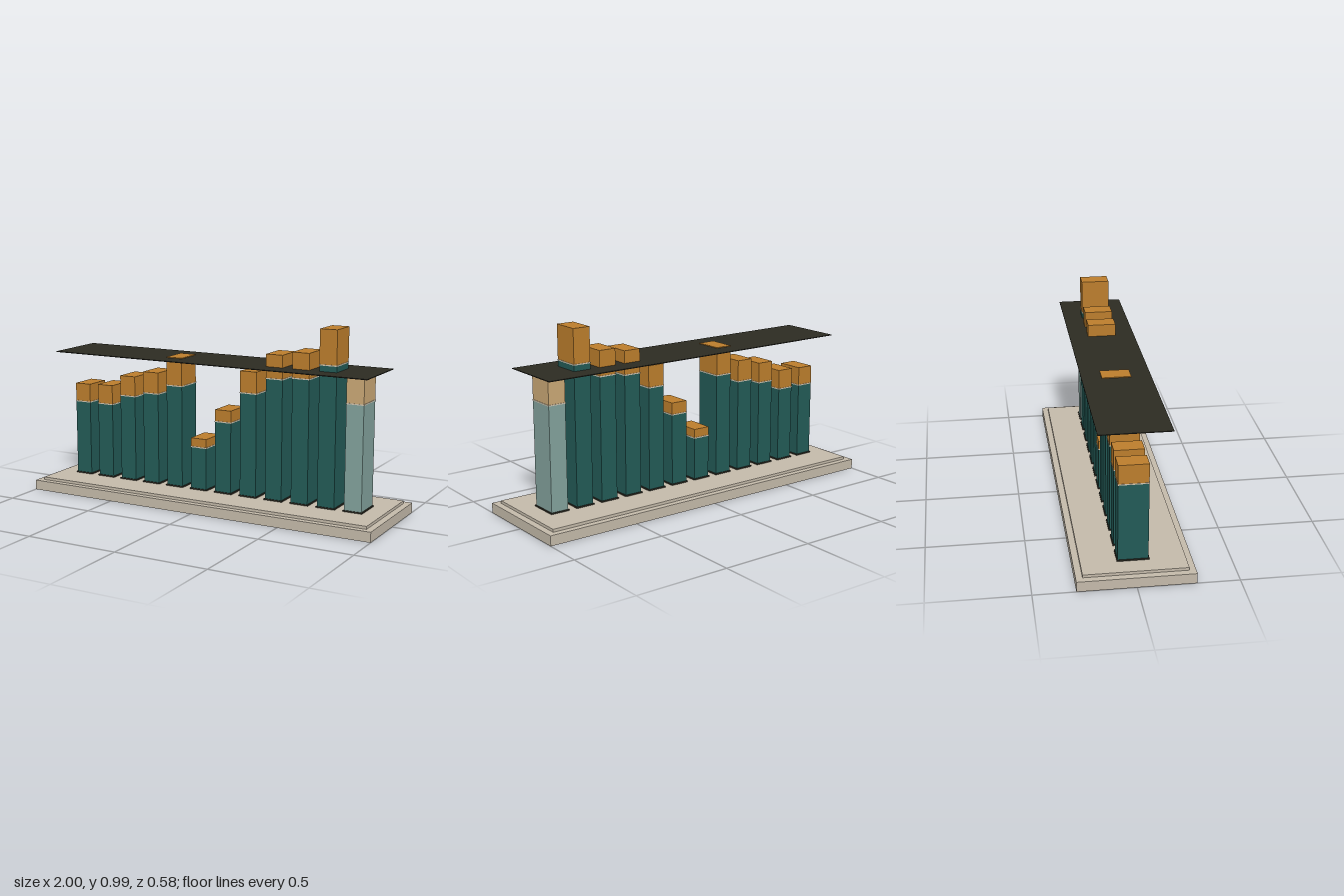
import * as THREE from 'three';

const mat = (name, color) => {
  const m = new THREE.MeshStandardMaterial({ color });
  m.name = name;
  return m;
};

export function createModel() {
  const stone = mat('stone', 0xc3b9a9);
  const teal = mat('teal', 0x225a56);
  const amber = mat('amber', 0xbb7d2c);
  const paleTeal = mat('paleTeal', 0x82a19b);
  const tan = mat('tan', 0xc9a775);
  const dark = mat('charcoal', 0x2c2b22);
  const trim = mat('trim', 0xcfc4b0);

  const model = new THREE.Group();
  model.name = 'barChart';

  // Box spanning y0 to y1, centred on x and z = 0
  const slab = (name, parent, material, w, d, y0, y1) => {
    const mesh = new THREE.Mesh(new THREE.BoxGeometry(w, y1 - y0, d), material);
    mesh.name = name;
    mesh.position.y = (y0 + y1) / 2;
    parent.add(mesh);
  };

  // Stepped plinth
  slab('plinth', model, stone, 2, 0.58, 0, 0.053);
  slab('plinthStep', model, stone, 1.93, 0.514, 0.053, 0.068);

  // Two-part bars: [top of lower part, top of cap]
  const bars = [
    [0.482, 0.583], [0.482, 0.588], [0.54, 0.65], [0.568, 0.684],
    [0.623, 0.776], [0.302, 0.35], [0.455, 0.519], [0.623, 0.738],
    [0.711, 0.837], [0.725, 0.858], [0.805, 0.986], [0.623, 0.75],
  ];
  const w = 0.094, d = 0.15;
  bars.forEach(([split, top], i) => {
    const bar = new THREE.Group();
    bar.name = `bar${i + 1}`;
    bar.position.x = (i - 5.5) * 0.1484;
    const last = i === bars.length - 1;
    slab('foot', bar, dark, w + 0.01, d + 0.01, 0.068, 0.075);
    slab('lowerPart', bar, last ? paleTeal : teal, w, d, 0.075, split - 0.003);
    slab('divider', bar, trim, w + 0.004, d + 0.004, split - 0.003, split + 0.003);
    slab('cap', bar, last ? tan : amber, w, d, split + 0.003, top);
    model.add(bar);
  });

  // Thin horizontal sheet marking the threshold level
  slab('thresholdSheet', model, dark, 1.834, 0.354, 0.768, 0.772);

  return model;
}
